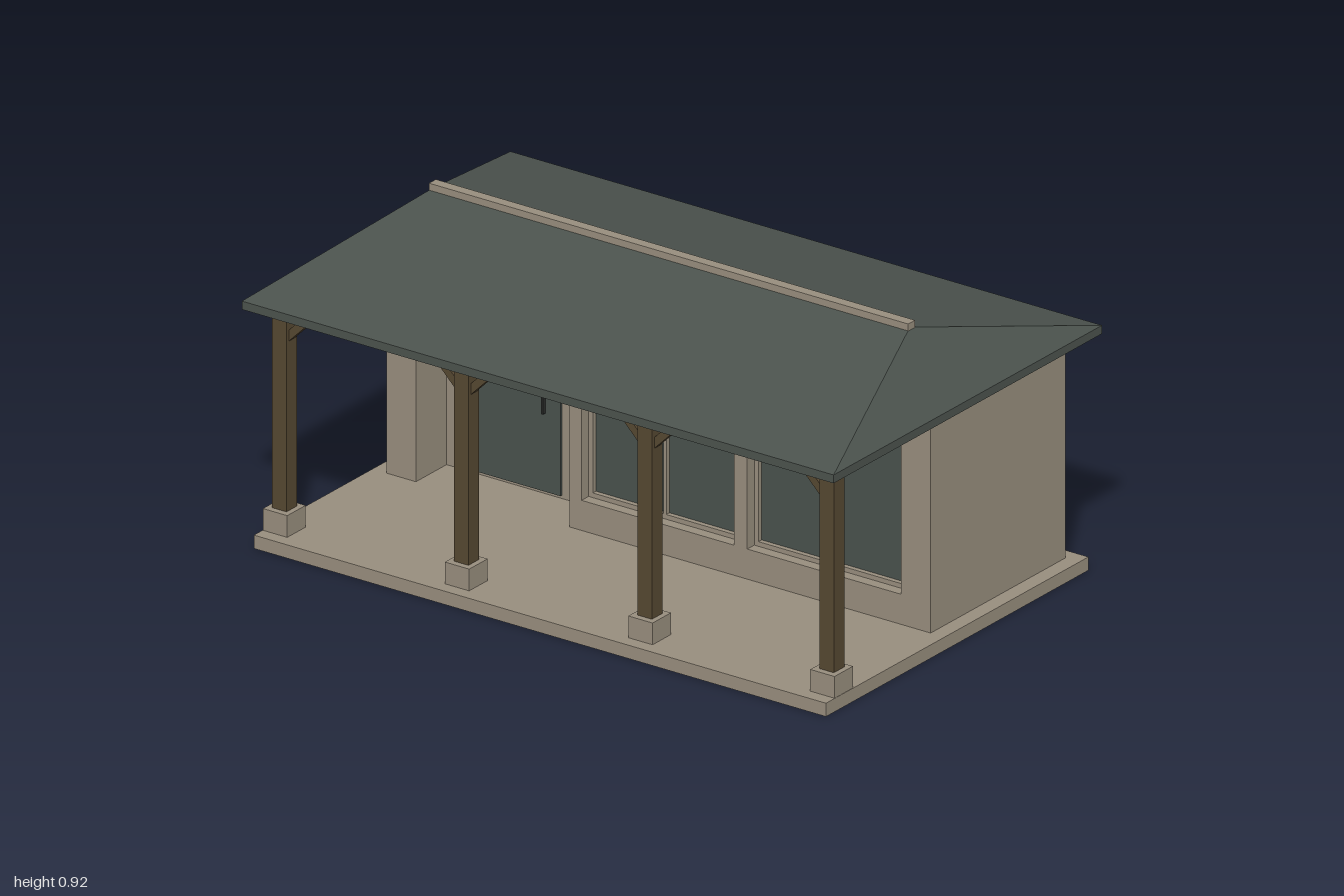
import * as THREE from 'three';

const mat = (name, color, side = THREE.FrontSide) => {
  const m = new THREE.MeshStandardMaterial({ color, side });
  m.name = name;
  return m;
};

export function createModel() {
  const group = new THREE.Group();
  group.name = 'verandaHouse';
  const stone = mat('warm stone', 0x978d7d);
  const slate = mat('slate roof', 0x4b524d);
  const glass = mat('dark glass', 0x49514d);
  const wood = mat('dark wood', 0x554731);
  const blue = mat('blue header', 0x5a8792);
  const black = mat('handle black', 0x2a2c2b);

  const add = (name, geometry, material) => {
    const mesh = new THREE.Mesh(geometry, material);
    mesh.name = name;
    group.add(mesh);
    return mesh;
  };
  // Box given by its extents on each axis
  const box = (name, material, x0, x1, y0, y1, z0, z1) => {
    const g = new THREE.BoxGeometry(x1 - x0, y1 - y0, z1 - z0);
    g.translate((x0 + x1) / 2, (y0 + y1) / 2, (z0 + z1) / 2);
    return add(name, g, material);
  };
  const poly = (pts) => pts.map(([x, y]) => new THREE.Vector2(x, y));

  // Floor slab and main body
  const wallFront = 0.063, recess = -0.08;
  box('floorSlab', stone, -0.967, 0.967, 0, 0.04, -0.607, 0.615);
  box('houseBody', stone, -0.92, 0.92, 0.04, 0.71, -0.565, recess);

  // Front wall with a door recess and two window openings
  const windows = [[-0.26, 0.255], [0.3, 0.82]];
  const door = [-0.82, -0.3];
  const sill = 0.13, head = 0.58, top = 0.632;
  const front = new THREE.Shape(poly([
    [-0.92, 0.04], [door[0], 0.04], [door[0], top], [door[1], top], [door[1], 0.04],
    [0.92, 0.04], [0.92, 0.71], [-0.92, 0.71],
  ]));
  for (const [a, b] of windows) {
    front.holes.push(new THREE.Path(poly([[a, sill], [a, top], [b, top], [b, sill]])));
  }
  const frontGeo = new THREE.ExtrudeGeometry(front, { depth: wallFront - recess, bevelEnabled: false });
  frontGeo.translate(0, 0, recess);
  add('frontWall', frontGeo, stone);
  box('wallPlate', stone, -0.935, 0.935, 0.703, 0.711, 0.025, 0.105);

  // Windows: two panes behind a slim frame
  for (const [a, b] of windows) {
    const mid = (a + b) / 2, w = 0.014, z0 = 0.005, z1 = 0.03;
    box('windowPane', glass, a, b, sill, top, -0.01, 0.015);
    box('windowFrame', stone, a, a + w, sill, top, z0, z1);
    box('windowFrame', stone, b - w, b, sill, top, z0, z1);
    box('windowFrame', stone, a, b, sill, sill + w, z0, z1);
    box('windowMullion', stone, mid - 0.005, mid + 0.005, sill, top, z0, z1);
  }

  // Door and handle
  box('door', glass, -0.705, -0.43, 0.05, head, recess, recess + 0.008);
  box('doorHandle', black, -0.487, -0.48, 0.285, 0.345, recess, recess + 0.02);

  // Blue headers above the openings
  for (const [a, b] of [door, ...windows]) {
    box('blueHeader', blue, a, b, head, 0.635, wallFront - 0.002, wallFront + 0.01);
  }

  // Veranda posts, plinths and braces
  const pz = 0.53, half = 0.0245, beamY = 0.69;
  const brace = new THREE.Shape(poly([[0, 0.612], [0, 0.645], [0.045, beamY], [0.078, beamY]]));
  for (const px of [-0.925, -0.31, 0.31, 0.925]) {
    box('postPlinth', stone, px - 0.041, px + 0.041, 0.04, 0.105, 0.488, 0.574);
    box('post', wood, px - half, px + half, 0.105, 0.71, pz - half, pz + half);
    for (const side of [-1, 1]) {
      if (px * side > 0.9) continue;
      const g = new THREE.ExtrudeGeometry(brace, { depth: 0.026, bevelEnabled: false });
      g.translate(half, 0, -0.013);
      if (side < 0) g.rotateY(Math.PI);
      g.translate(px, 0, pz);
      add('postBrace', g, wood);
    }
  }
  box('verandaBeam', wood, -0.95, 0.95, beamY, 0.712, pz - half, pz + half);

  // Hipped roof: a box whose top edge closes to the ridge, on a shallow fascia
  box('roofFascia', slate, -1, 1, 0.71, 0.735, -0.625, 0.625);
  let hip = new THREE.BoxGeometry(2, 0.167, 1.25);
  const p = hip.attributes.position;
  for (let i = 0; i < p.count; i++) {
    if (p.getY(i) > 0) p.setXYZ(i, Math.sign(p.getX(i)) * 0.805, p.getY(i), Math.sign(p.getZ(i)) * 0.002);
  }
  hip.translate(0, 0.735 + 0.0835, 0);
  hip = hip.toNonIndexed();
  hip.computeVertexNormals();
  add('hippedRoof', hip, slate);
  box('ridgeCap', stone, -0.81, 0.81, 0.893, 0.919, -0.016, 0.016);

  return group;
}
